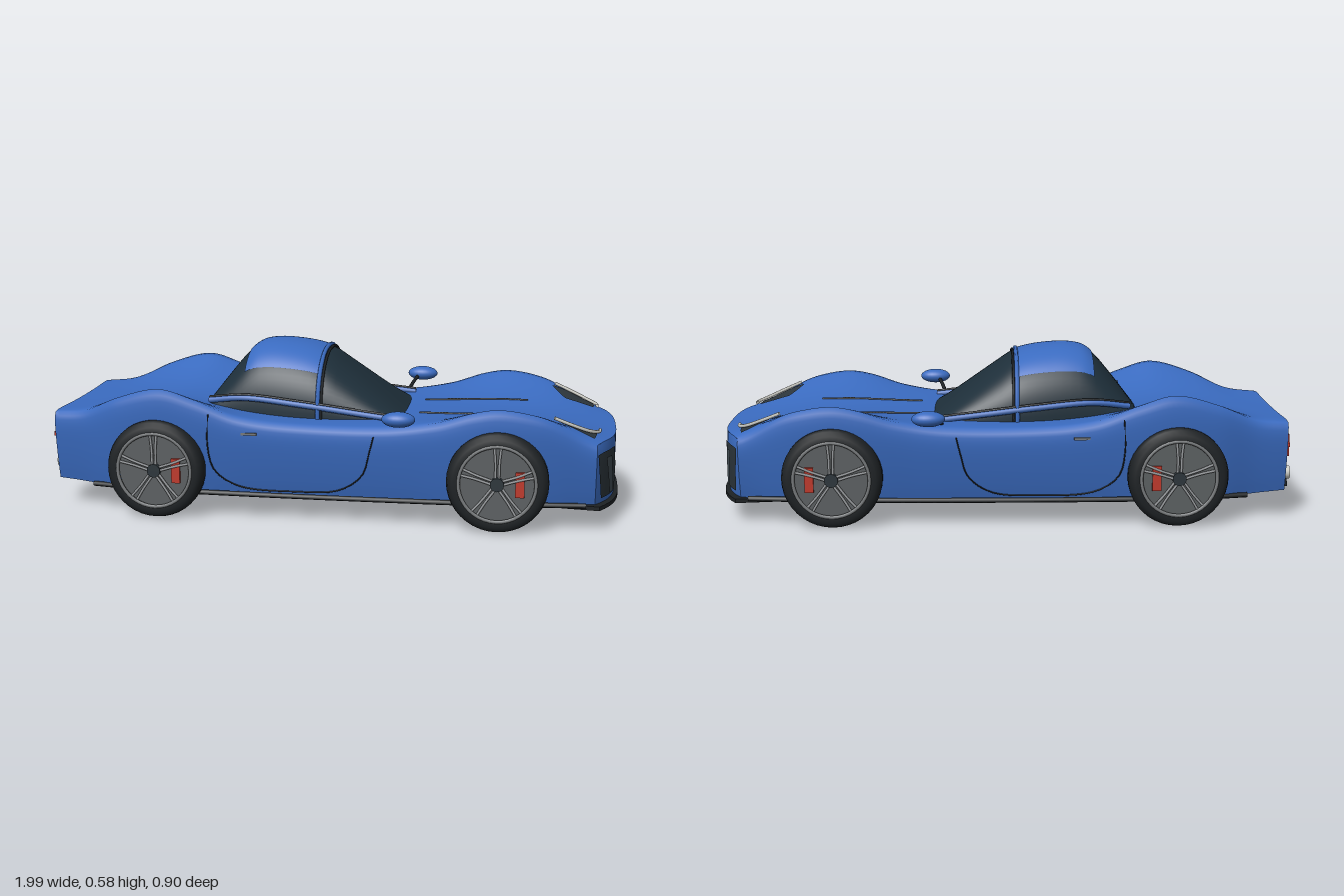
import * as THREE from 'three';

const BLUE = 0x3a6bc0, BLACK = 0x1d2124, GLASS = 0x1e2f3a, DARK = 0x2c353b, RED = 0xc0392b, CHROME = 0xcfcfc8, GREY = 0x777a7c;
const mat = (color) => new THREE.MeshStandardMaterial({ color, side: THREE.DoubleSide });
const V = (x, y, z) => new THREE.Vector3(x, y, z);

// Smooth curve through [position, value] keys
function keyed(keys) {
  return (x) => {
    const n = keys.length;
    if (x <= keys[0][0]) return keys[0][1];
    if (x >= keys[n - 1][0]) return keys[n - 1][1];
    let i = 0;
    while (x > keys[i + 1][0]) i++;
    const slope = (k) => {
      const a = keys[Math.max(k - 1, 0)], b = keys[Math.min(k + 1, n - 1)];
      return (b[1] - a[1]) / (b[0] - a[0]);
    };
    const [x0, y0] = keys[i], [x1, y1] = keys[i + 1], d = x1 - x0, s = (x - x0) / d;
    const s2 = s * s, s3 = s2 * s;
    return (2 * s3 - 3 * s2 + 1) * y0 + (s3 - 2 * s2 + s) * d * slope(i) + (3 * s2 - 2 * s3) * y1 + (s3 - s2) * d * slope(i + 1);
  };
}

// Body rules along the length: half width, fender crest, centre line, underside, side bulge
const REAR = -0.965, NOSE = 0.98;
const halfWidth = keyed([[-0.965, 0.3], [-0.85, 0.318], [-0.72, 0.355], [-0.57, 0.37], [-0.35, 0.365], [0, 0.355], [0.3, 0.358], [0.5, 0.37], [0.65, 0.366], [0.8, 0.345], [0.98, 0.315]]);
const fender = keyed([[-0.965, 0.35], [-0.85, 0.363], [-0.72, 0.42], [-0.57, 0.458], [-0.45, 0.425], [-0.3, 0.368], [-0.1, 0.345], [0.2, 0.345], [0.38, 0.372], [0.5, 0.41], [0.59, 0.424], [0.7, 0.408], [0.82, 0.37], [0.98, 0.305]]);
const centre = keyed([[-0.965, 0.342], [-0.6, 0.365], [-0.4, 0.35], [-0.1, 0.335], [0.3, 0.342], [0.7, 0.335], [0.98, 0.3]]);
const under = keyed([[-0.965, 0.1], [-0.7, 0.086], [0.98, 0.084]]);
const sideShape = keyed([[0, 0.91], [0.2, 0.945], [0.5, 0.985], [0.78, 1.008], [0.94, 1], [1, 0.975]]);

// Point in the body: u along the length, t across (-1..1), v up (0..1)
function bodyPoint(u, t, v) {
  const a = Math.abs(t);
  const top = centre(u) + (fender(u) - centre(u)) * a ** 2.2 - 0.008 * a ** 14;
  const y = THREE.MathUtils.lerp(under(u), top, v);
  const x = u - 0.07 * THREE.MathUtils.smoothstep(u, 0.7, NOSE) * a ** 3;
  return V(x, y, t * halfWidth(u) * sideShape(v));
}

// Surface grid whose vertices follow rule(a, b), both 0..1
function surface(name, color, na, nb, rule) {
  const g = new THREE.PlaneGeometry(1, 1, na, nb), p = g.attributes.position;
  for (let i = 0; i < p.count; i++) {
    const q = rule(p.getX(i) + 0.5, p.getY(i) + 0.5);
    p.setXYZ(i, q.x, q.y, q.z);
  }
  g.computeVertexNormals();
  return part(name, color, g);
}
function part(name, color, geometry, x = 0, y = 0, z = 0) {
  const m = new THREE.Mesh(geometry, mat(color));
  m.name = name;
  m.position.set(x, y, z);
  return m;
}
const tube = (name, color, pts, r) =>
  part(name, color, new THREE.TubeGeometry(new THREE.CatmullRomCurve3(pts), 32, r, 6));
const box = (name, color, w, h, d, x, y, z) => part(name, color, new THREE.BoxGeometry(w, h, d), x, y, z);

// Four-cornered panel: corners in two body coordinates, mapped to space
const panel = (name, color, c, map) => surface(name, color, 10, 10, (a, b) => {
  const mix = (k) => (c[0][k] * (1 - a) + c[1][k] * a) * (1 - b) + (c[3][k] * (1 - a) + c[2][k] * a) * b;
  return map(mix(0), mix(1));
});

function bodyShell(g) {
  const mix = THREE.MathUtils.lerp;
  // Both flanks and the deck in one skin
  g.add(surface('bodyShell', BLUE, 110, 72, (a, b) => {
    const u = mix(REAR, NOSE, a);
    if (b < 0.25) return bodyPoint(u, -1, b * 4);
    if (b > 0.75) return bodyPoint(u, 1, (1 - b) * 4);
    return bodyPoint(u, b * 4 - 2, 1);
  }));
  for (const [name, u] of [['noseFace', NOSE], ['tailFace', REAR]])
    g.add(surface(name, BLUE, 24, 10, (a, b) => bodyPoint(u, a * 2 - 1, b)));
  g.add(surface('floor', BLACK, 40, 12, (a, b) => bodyPoint(mix(-0.78, NOSE, a), b * 2 - 1, 0)));
  g.add(surface('rearUnderside', BLUE, 6, 12, (a, b) => bodyPoint(mix(REAR, -0.78, a), b * 2 - 1, 0)));

  // Front splitter
  const s = new THREE.Shape();
  s.moveTo(0.8, -0.3);
  for (let i = -10; i <= 10; i++) s.lineTo(bodyPoint(NOSE, i / 10, 0).x + 0.014, i * 0.0315);
  s.lineTo(0.8, 0.3);
  const lip = new THREE.ExtrudeGeometry(s, { depth: 0.014, bevelEnabled: false });
  g.add(part('frontSplitter', BLACK, lip.rotateX(Math.PI / 2), 0, 0.088, 0));
}

// Cabin dome: position along x, angle over the roof from one sill to the other
const cabinHeight = keyed([[-0.465, 0.355], [-0.4, 0.44], [-0.32, 0.535], [-0.27, 0.568], [-0.17, 0.574], [-0.04, 0.55], [0.03, 0.505], [0.14, 0.425], [0.255, 0.338]]);
const cabinWidth = keyed([[-0.465, 0.19], [-0.3, 0.22], [-0.04, 0.242], [0.255, 0.225]]);
function cabinPoint(x, a, grow = 0) {
  const c = Math.cos(a), s = Math.max(Math.sin(a), 0);
  return V(x, 0.325 + (cabinHeight(x) - 0.325 + grow) * s ** 0.85,
    Math.sign(c) * (cabinWidth(x) + grow) * Math.abs(c) ** 0.85);
}
function cabin(g) {
  const dome = (name, color, x0, x1, a0, grow) => g.add(surface(name, color, 24, 36, (a, b) =>
    cabinPoint(x0 + (x1 - x0) * a, a0 + (Math.PI - 2 * a0) * b, grow)));
  dome('cabinGlass', GLASS, -0.465, 0.255, 0, 0);
  dome('roof', BLUE, -0.31, -0.045, 0.72, 0.004);
  // Hoop over the top of the windscreen
  const hoop = (name, color, x, r) => g.add(tube(name, color,
    Array.from({ length: 17 }, (_, i) => cabinPoint(x, Math.PI * i / 16, 0.004)), r));
  hoop('screenHoop', BLUE, -0.04, 0.008);
  hoop('screenSeal', BLACK, -0.028, 0.005);
}

function wheel(x, side) {
  const w = new THREE.Group();
  w.name = 'wheel';
  const tyre = [[0.125, -0.037], [0.15, -0.039], [0.165, -0.028], [0.17, -0.012], [0.17, 0.012], [0.165, 0.028], [0.15, 0.039], [0.125, 0.037]];
  w.add(part('tyre', BLACK, new THREE.LatheGeometry(tyre.map((p) => new THREE.Vector2(...p)), 40).rotateX(Math.PI / 2)));
  const disc = (name, color, r, depth, z) => w.add(part(name, color, new THREE.CylinderGeometry(r, r, depth, 32).rotateX(Math.PI / 2), 0, 0, z));
  disc('brakeDisc', 0x5c6062, 0.126, 0.05, 0);
  disc('hub', DARK, 0.023, 0.02, 0.033);
  w.add(part('rim', GREY, new THREE.TorusGeometry(0.128, 0.006, 8, 40), 0, 0, 0.036));
  // Five pairs of spokes
  for (let i = 0; i < 5; i++) for (const k of [-1, 1]) {
    const a = Math.PI / 2 + i * Math.PI * 0.4, at = (r, d) => V(Math.cos(a + d * k) * r, Math.sin(a + d * k) * r, 0.034);
    w.add(tube('spoke', 0x9a9da0, [at(0.02, 0.3), at(0.075, 0.09), at(0.127, 0.09)], 0.0045));
  }
  // Caliper stays towards the nose on both sides
  w.add(box('caliper', RED, 0.03, 0.085, 0.012, 0.075 * side, 0, 0.028));
  w.position.set(x, 0.174, 0.367 * side);
  if (side < 0) w.rotation.y = Math.PI;
  return w;
}

function sideDetails(g, s) {
  const deck = (u, t, up = 0.004) => bodyPoint(u, t * s, 1).add(V(0, up, 0));
  const flank = (x, y) => bodyPoint(x, s, (y - under(x)) / (fender(x) - 0.008 - under(x))).add(V(0, 0, 0.001 * s));
  const front = (t, v) => bodyPoint(NOSE, t * s, v).add(V(0.004, 0, 0));

  // Headlight with its bright strip, and corner intake
  g.add(panel('headlight', DARK, [[0.92, 0.6], [0.955, 0.93], [0.76, 0.86], [0.81, 0.63]], (u, t) => deck(u, t)));
  g.add(tube('lightStrip', CHROME, [[0.775, 0.88], [0.86, 0.87], [0.92, 0.82], [0.94, 0.72], [0.935, 0.61]].map(([u, t]) => deck(u, t, 0.012)), 0.006));
  g.add(panel('intake', DARK, [[0.52, 0.1], [0.92, 0.1], [1, 0.85], [0.6, 0.85]], front));
  g.add(panel('intakeInnerEdge', DARK, [[0.52, 0.1], [0.6, 0.85], [0.43, 0.5], [0.47, 0.15]], front));
  g.add(panel('intakeVane', 0x414c53, [[0.6, 0.13], [0.74, 0.13], [0.86, 0.75], [0.72, 0.75]], (t, v) => front(t, v).add(V(0.004, 0, 0))));
  g.add(tube('hoodCrease', BLACK, [0.3, 0.42, 0.55, 0.67].map((x) => deck(x, (0.115 + (x - 0.3) * 0.08) / halfWidth(x), 0.001)), 0.004));

  // Door seam, handle and sill rail
  g.add(tube('doorSeam', BLACK, [[-0.395, 0.37], [-0.4, 0.26], [-0.38, 0.17], [-0.3, 0.115], [-0.1, 0.1], [0.05, 0.112], [0.13, 0.17], [0.155, 0.25], [0.17, 0.31]].map((p) => flank(...p)), 0.0025));
  const h = flank(-0.255, 0.305);
  g.add(box('doorHandle', GREY, 0.055, 0.008, 0.008, h.x, h.y, h.z));
  const rail = [[-0.43, 0.385, 0.205], [-0.3, 0.4, 0.225], [-0.1, 0.385, 0.24], [0.1, 0.362, 0.245], [0.25, 0.345, 0.25]];
  g.add(tube('windowRail', BLUE, rail.map(([x, y, z]) => V(x, y, z * s)), 0.011));
  g.add(tube('windowSeal', BLACK, rail.map(([x, y, z]) => V(x, y + 0.012, z * s)), 0.004));
  g.add(tube('sideSkirt', BLACK, [[-0.83, 0.3], [-0.6, 0.34], [-0.3, 0.352], [0.2, 0.352], [0.6, 0.34], [0.88, 0.315]].map(([x, z]) => V(x, 0.09, z * s)), 0.009));

  // Door mirror
  const glass = part('mirror', BLUE, new THREE.SphereGeometry(1, 24, 16), 0.26, 0.385, 0.415 * s);
  glass.scale.set(0.056, 0.026, 0.035);
  g.add(glass, tube('mirrorArm', BLACK, [V(0.215, 0.335, 0.285 * s), V(0.23, 0.362, 0.34 * s), V(0.245, 0.38, 0.4 * s)], 0.007));

  // Tail lights and exhaust
  g.add(box('tailLightBar', RED, 0.012, 0.014, 0.18, -0.97, 0.262, 0.195 * s));
  for (let i = 0; i < 4; i++) g.add(box('tailLight', RED, 0.016, 0.075, 0.016, -0.971, 0.255, (0.155 + i * 0.032) * s));
  const pipe = new THREE.LatheGeometry([[0.016, 0], [0.016, 0.06], [0.023, 0.06], [0.023, 0]].map((p) => new THREE.Vector2(...p)), 20);
  g.add(part('exhaust', CHROME, pipe.rotateZ(Math.PI / 2), -0.938, 0.142, 0.187 * s));

  g.add(wheel(-0.58, s), wheel(0.587, s));
}

export function createModel() {
  const car = new THREE.Group();
  car.name = 'sportsCar';
  bodyShell(car);
  cabin(car);
  for (const s of [1, -1]) sideDetails(car, s);
  // Rear panel and diffuser fins
  car.add(box('rearGrille', BLACK, 0.008, 0.06, 0.34, -0.967, 0.2, 0));
  for (let i = -2; i <= 2; i++) {
    const fin = box('diffuserFin', BLACK, 0.14, 0.03, 0.008, -0.925, 0.098, i * 0.088);
    fin.rotation.z = -0.08;
    car.add(fin);
  }
  return car;
}
